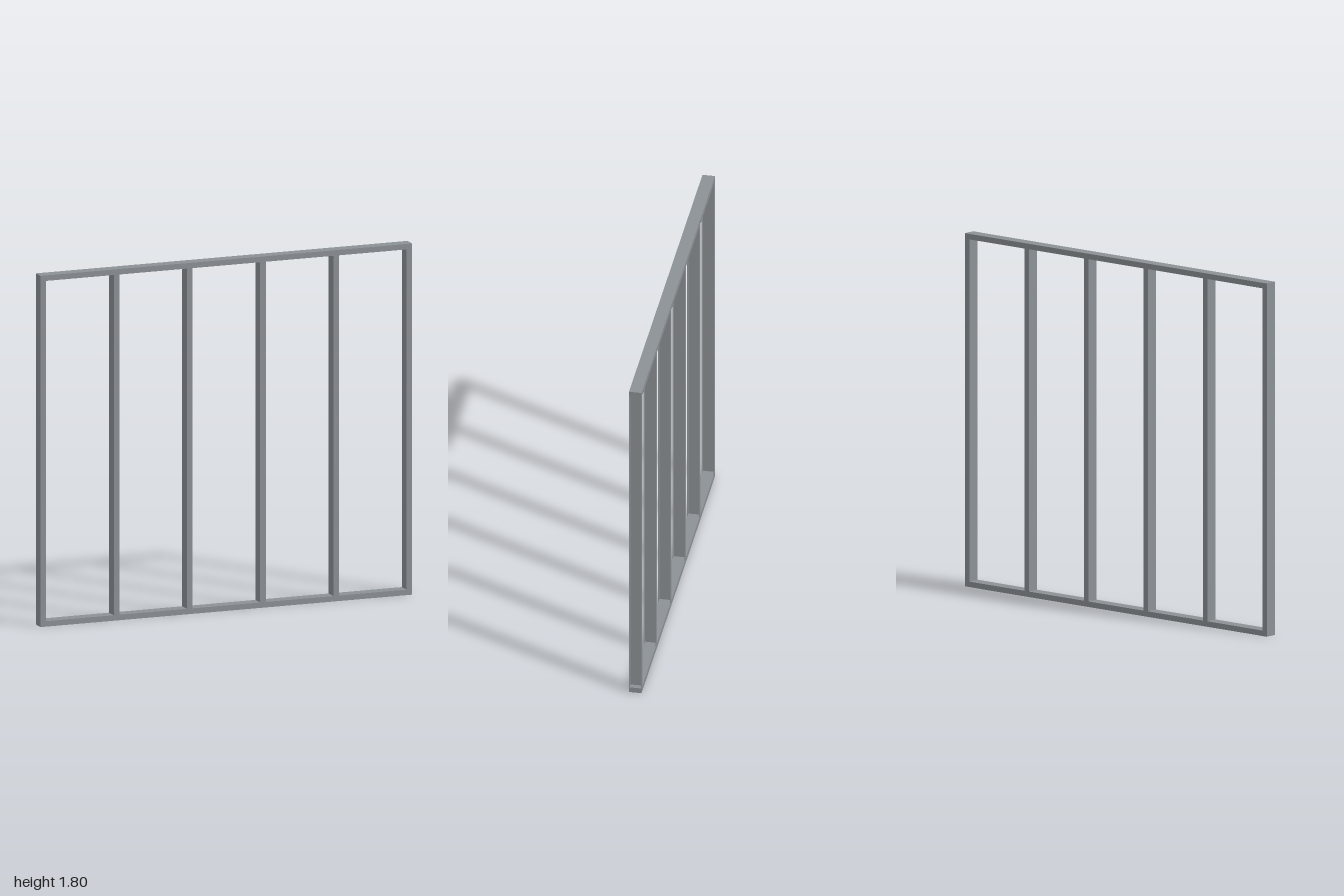
import * as THREE from 'three';

const WIDTH = 2, HEIGHT = 1.8, DEPTH = 0.064;
const RAIL = 0.028;   // rail height
const STUD = 0.03;    // stud flange width
const WALL = 0.003;   // sheet thickness
const COUNT = 6;

// Upright channel: web on the -x side, open towards +x
function channelGeometry(length) {
  const h = DEPTH / 2;
  const profile = new THREE.Shape([
    [0, -h], [STUD, -h], [STUD, -h + WALL], [WALL, -h + WALL],
    [WALL, h - WALL], [STUD, h - WALL], [STUD, h], [0, h],
  ].map(([x, y]) => new THREE.Vector2(x, y)));
  const geometry = new THREE.ExtrudeGeometry(profile, { depth: length, bevelEnabled: false });
  return geometry.rotateX(-Math.PI / 2);
}

export function createModel() {
  const group = new THREE.Group();
  group.name = 'studWallFrame';
  const steel = new THREE.MeshStandardMaterial({ color: 0x8c9196 });
  steel.name = 'galvanised steel';

  // Bottom and top rails
  const railGeometry = new THREE.BoxGeometry(WIDTH, RAIL, DEPTH);
  for (const [name, y] of [['bottomRail', RAIL / 2], ['topRail', HEIGHT - RAIL / 2]]) {
    const rail = new THREE.Mesh(railGeometry, steel);
    rail.name = name;
    rail.position.y = y;
    group.add(rail);
  }

  // Evenly spaced studs between the rails
  const studGeometry = channelGeometry(HEIGHT - 2 * RAIL);
  for (let i = 0; i < COUNT; i++) {
    const stud = new THREE.Mesh(studGeometry, steel);
    stud.name = `stud${i + 1}`;
    stud.position.set(-WIDTH / 2 + i * (WIDTH - STUD) / (COUNT - 1), RAIL, 0);
    group.add(stud);
  }
  return group;
}
